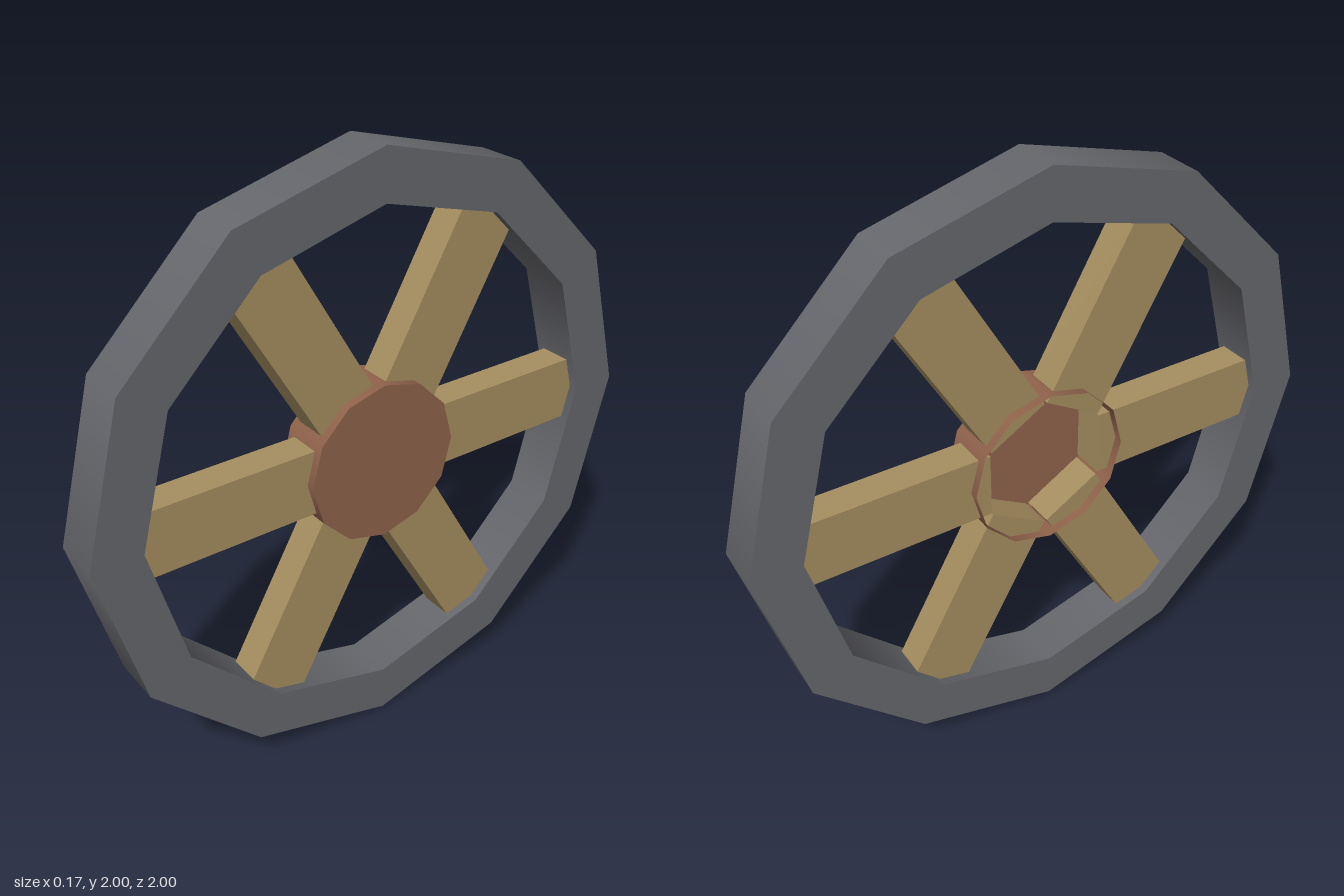
import * as THREE from 'three';

const SIDES = 12;
const HALF = 0.085; // half width of rim and hub along the axle (x)

export function createModel() {
  const wheel = new THREE.Group();
  wheel.name = 'wheel';
  const material = (color) => new THREE.MeshStandardMaterial({ color, side: THREE.DoubleSide });
  const iron = material(0x66676c);
  const wood = material(0xa68e60);
  const hubWood = material(0x90634b);

  const add = (parent, name, geometry, mat) => {
    const mesh = new THREE.Mesh(geometry, mat);
    mesh.name = name;
    parent.add(mesh);
    return mesh;
  };
  // Open twelve-sided band around the x axis
  const band = (radius) =>
    new THREE.CylinderGeometry(radius, radius, HALF * 2, SIDES, 1, true).rotateZ(-Math.PI / 2);

  // Rim: outer and inner bands closed by two flat rings
  const rim = new THREE.Group();
  rim.name = 'rim';
  add(rim, 'rimOuter', band(1), iron);
  add(rim, 'rimInner', band(0.835).scale(-1, 1, 1), iron);
  for (const side of [1, -1]) {
    const ring = new THREE.RingGeometry(0.835, 1, SIDES).rotateY(side * Math.PI / 2);
    add(rim, 'rimFace', ring.translate(side * HALF, 0, 0), iron);
  }

  // Hub: a shallow cup, capped on +x and open on -x
  const hub = new THREE.Group();
  hub.name = 'hub';
  add(hub, 'hubWall', band(0.27), hubWood);
  const cap = new THREE.CircleGeometry(0.27, SIDES).rotateY(Math.PI / 2);
  add(hub, 'hubCap', cap.translate(HALF, 0, 0), hubWood);

  // Six spokes running from inside the hub into the rim
  const spokes = new THREE.Group();
  spokes.name = 'spokes';
  const inner = 0.2, outer = 0.86;
  const spoke = new THREE.BoxGeometry(0.11, 0.22, outer - inner).translate(0, 0, (inner + outer) / 2);
  for (let i = 0; i < 6; i++) {
    add(spokes, 'spoke', spoke, wood).rotation.x = i * Math.PI / 3;
  }

  wheel.add(rim, hub, spokes);
  wheel.children.forEach((part) => { part.position.y = 1; });
  return wheel;
}
